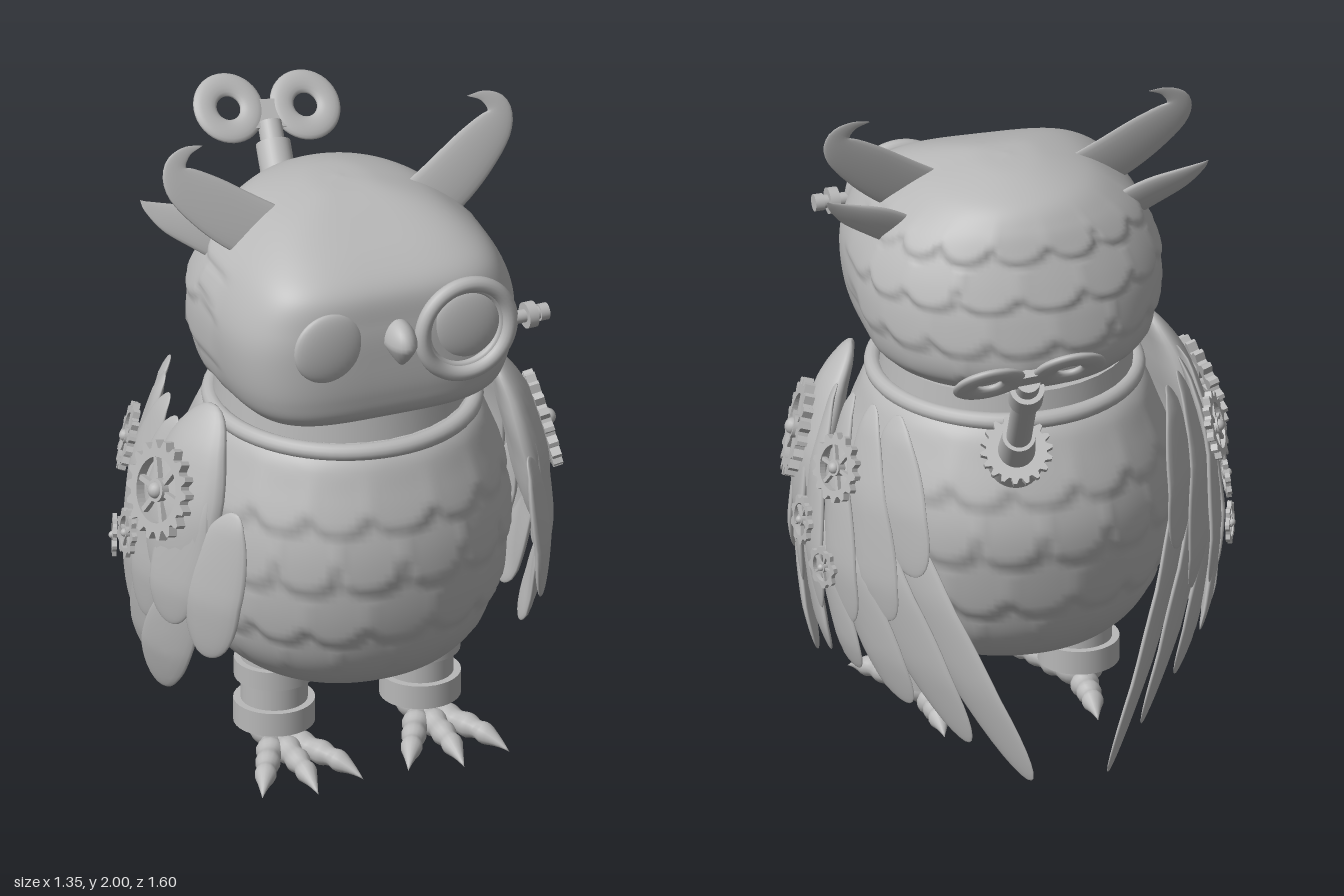
import * as THREE from 'three';
import { mergeGeometries, mergeVertices } from 'three/addons/utils/BufferGeometryUtils.js';
import { ParametricGeometry } from 'three/addons/geometries/ParametricGeometry.js';

const grey = new THREE.MeshStandardMaterial({ color: 0xb8b8b8 });
grey.name = 'plain grey';

const { PI, cos, sin, abs, sign, floor, sqrt } = Math;
const { smoothstep, clamp } = THREE.MathUtils;

function part(parent, name, geo, pos = [0, 0, 0], rot = [0, 0, 0]) {
  const mesh = new THREE.Mesh(geo, grey);
  mesh.name = name;
  mesh.position.set(...pos);
  mesh.rotation.set(...rot);
  parent.add(mesh);
  return mesh;
}

// Weld seams and rebuild smooth normals
function smooth(geo) {
  geo.deleteAttribute('uv');
  geo.deleteAttribute('normal');
  const g = mergeVertices(geo, 1e-5);
  g.computeVertexNormals();
  return g;
}

// Copy of a geometry reflected in x, with the corner order restored
function mirrored(geo) {
  const g = geo.index ? geo.clone() : mergeVertices(geo.clone());
  g.scale(-1, 1, 1);
  const ix = g.index;
  for (let i = 0; i < ix.count; i += 3) {
    const b = ix.getX(i + 1);
    ix.setX(i + 1, ix.getX(i + 2));
    ix.setX(i + 2, b);
  }
  return g;
}

function both(parent, name, geo) {
  part(parent, name + 'Left', geo);
  part(parent, name + 'Right', mirrored(geo));
}

// Soft overlapping rows of rounded feathers: swells near each tip, fades upwards
function scallop(u, y, count, h) {
  for (let k = floor(y / h) + 2; k > floor(y / h) - 2; k--) {
    const s = u * count + (k & 1) * 0.5;
    const f = 2 * (s - floor(s)) - 1;
    const t = (y - k * h) / h + 0.45 * sqrt(1 - f * f);
    if (t >= 0) return smoothstep(t, -0.08, 0.22) * Math.max(0, 1 - 0.8 * t);
  }
  return 0;
}

// Closed body from rows [y, halfWidth, frontZ, backZ], bottom to top
function skin(rows, zc, frontPower, count, h, amp, fade) {
  const prof = new THREE.CatmullRomCurve3(rows.map(r => new THREE.Vector3(r[1], r[2], r[3])), false, 'catmullrom');
  const ys = new THREE.CatmullRomCurve3(rows.map(r => new THREE.Vector3(r[0], 0, 0)), false, 'catmullrom');
  return smooth(new ParametricGeometry((u, v, out) => {
    const a = -2 * PI * (u % 1), c = cos(a), s = sin(a);
    const p = prof.getPoint(v), y = ys.getPoint(v).x;
    const e = s > 0 ? 2 / frontPower : 0.95;
    const x = Math.max(p.x, 0) * sign(c) * abs(c) ** e;
    const z = zc + abs(s) ** e * (s > 0 ? p.y - zc : p.z - zc);
    const k = (scallop(u % 1, y, count, h) - 0.55) * amp * fade(z, y);
    out.set(x + k * c, y, z + k * s);
  }, 144, 90));
}

// Flat tapering blade along points [x, y, halfWidth], leaning back in z
function blade(pts, z0, y0, lean, flat) {
  const curve = new THREE.CatmullRomCurve3(pts.map(p => new THREE.Vector3(p[0], p[1], p[2])), false, 'catmullrom');
  return smooth(new ParametricGeometry((u, v, out) => {
    const a = -2 * PI * (u % 1), p = curve.getPoint(v), t = curve.getTangent(v);
    const l = Math.hypot(t.x, t.y), w = Math.max(p.z, 0);
    const y = p.y - (t.x / l) * w * cos(a);
    out.set(p.x + (t.y / l) * w * cos(a), y, z0 - (y - y0) * lean + flat * w * sin(a));
  }, 20, 28));
}

// Wing surface: x as a function of z and y
function lerpTable(t, v) {
  for (let i = 1; i < t.length; i++)
    if (v <= t[i][0] || i === t.length - 1) {
      const k = clamp((v - t[i - 1][0]) / (t[i][0] - t[i - 1][0]), 0, 1);
      return t[i - 1][1] + k * (t[i][1] - t[i - 1][1]);
    }
}
const acrossZ = [[-0.55, 0.14], [-0.3, 0.33], [-0.1, 0.49], [0.03, 0.56], [0.2, 0.59], [0.35, 0.58], [0.5, 0.53], [0.7, 0.42]];
const acrossY = [[0.13, -0.03], [0.4, 0.01], [0.65, 0.02], [0.9, -0.01], [1.1, -0.07], [1.22, -0.13]];
const wingX = (z, y) => lerpTable(acrossZ, z) + lerpTable(acrossY, y);

// Petal on the wing surface, from base to tip in z and y; twist lifts its rear edge
function feather(bz, by, tz, ty, half, lift, thick = 0.018, twist = 0) {
  const g = new THREE.SphereGeometry(1, 20, 20), p = g.attributes.position;
  const len = Math.hypot(tz - bz, ty - by), dz = (tz - bz) / len, dy = (ty - by) / len;
  for (let i = 0; i < p.count; i++) {
    const al = p.getY(i) * len / 2, ac = p.getX(i) * half * (1 + 0.15 * p.getY(i));
    const z = (bz + tz) / 2 + dz * al - dy * ac, y = (by + ty) / 2 + dy * al + dz * ac;
    p.setXYZ(i, wingX(z, y) + lift + p.getZ(i) * thick - twist * ac, y, z);
  }
  return smooth(g);
}

// Toothed ring with spokes and hub, facing +z
function gear(R, teeth, spokes, hole = 0.66) {
  const s = new THREE.Shape(), d = R * 0.2;
  for (let i = 0; i < teeth * 4; i++) {
    const a = (i + 0.5) / (teeth * 4) * 2 * PI, r = i % 4 < 2 ? R : R * 0.84;
    s[i ? 'lineTo' : 'moveTo'](r * cos(a), r * sin(a));
  }
  s.holes.push(new THREE.Path().absarc(0, 0, R * hole, 0, 2 * PI, true));
  const list = [new THREE.ExtrudeGeometry(s, { depth: d, bevelEnabled: false, curveSegments: 24 })];
  for (let i = 0; i < spokes; i++)
    list.push(new THREE.BoxGeometry(R * 0.7, R * 0.11, d * 0.6).translate(R * 0.35, 0, d / 2).rotateZ(i / spokes * 2 * PI).toNonIndexed());
  if (spokes) {
    list.push(new THREE.CylinderGeometry(R * 0.24, R * 0.24, d * 1.2, 20).rotateX(PI / 2).translate(0, 0, d / 2).toNonIndexed());
    list.push(new THREE.SphereGeometry(R * 0.17, 16, 10).translate(0, 0, d).toNonIndexed());
  }
  return mergeGeometries(list);
}

// Arched knuckled toe with a curved claw, pointing along +z
function toe(len) {
  const prof = [[0, 0], [0.04, 0.02], [0.036, 0.22], [0.044, 0.32], [0.033, 0.42], [0.038, 0.54], [0.028, 0.64], [0.033, 0.73], [0.02, 0.84], [0, 1]];
  const curve = new THREE.SplineCurve(prof.map(q => new THREE.Vector2(q[0], q[1])));
  const g = new THREE.LatheGeometry(curve.getPoints(30).map(q => new THREE.Vector2(Math.max(q.x, 0), q.y * len)), 14);
  g.rotateX(PI / 2);
  const p = g.attributes.position;
  for (let i = 0; i < p.count; i++) {
    const t = p.getZ(i) / len;
    p.setY(i, Math.max(0, p.getY(i) + 0.045 - 0.042 * t ** 5));
  }
  return smooth(g);
}

export function createModel() {
  const owl = new THREE.Group();
  owl.name = 'clockworkOwl';
  const cyl = (r, h, r2 = r) => new THREE.CylinderGeometry(r2, r, h, 32);

  // Body, neck band and collar
  part(owl, 'body', skin([
    [0.27, 0, 0.26, 0.26], [0.278, 0.2, 0.47, 0.06], [0.32, 0.33, 0.6, -0.06], [0.43, 0.43, 0.69, -0.15],
    [0.6, 0.485, 0.75, -0.21], [0.8, 0.495, 0.77, -0.24], [0.98, 0.46, 0.74, -0.2], [1.11, 0.4, 0.68, -0.13],
    [1.14, 0.3, 0.57, -0.03], [1.145, 0, 0.26, 0.26]], 0.26, 2.15, 16, 0.19, 0.02,
    (z, y) => smoothstep(y, 0.32, 0.5) * (1 - smoothstep(y, 0.98, 1.1))));
  part(owl, 'neckBand', cyl(0.385, 0.12, 0.37), [0, 1.15, 0.26]);
  part(owl, 'collar', new THREE.TorusGeometry(0.392, 0.026, 14, 64).scale(1, 1.03, 1), [0, 1.125, 0.28], [PI / 2, 0, 0]);

  // Head: flat smooth face, feathered back
  part(owl, 'head', skin([
    [1.19, 0, 0.27, 0.27], [1.2, 0.31, 0.57, -0.03], [1.24, 0.395, 0.68, -0.12], [1.32, 0.44, 0.71, -0.16],
    [1.45, 0.46, 0.715, -0.15], [1.55, 0.447, 0.71, -0.125], [1.65, 0.4, 0.69, -0.09], [1.72, 0.335, 0.61, -0.06],
    [1.78, 0.24, 0.48, 0], [1.82, 0.11, 0.35, 0.12], [1.83, 0, 0.25, 0.25]], 0.25, 4, 15, 0.14, 0.018,
    (z, y) => (1 - smoothstep(z, 0.32, 0.42)) * (1 - smoothstep(y, 1.66, 1.78)) * smoothstep(y, 1.2, 1.28)));
  for (const s of [1, -1])
    part(owl, s > 0 ? 'eyeLeft' : 'eyeRight', new THREE.SphereGeometry(0.112, 32, 20).scale(1, 1, 0.25), [0.22 * s, 1.505, 0.7]);

  // Beak tapering to a point at the bottom
  const beak = new THREE.SphereGeometry(1, 24, 20), bp = beak.attributes.position;
  for (let i = 0; i < bp.count; i++) {
    const y = bp.getY(i), k = y < 0 ? 1 + 0.55 * y : 1;
    bp.setXYZ(i, bp.getX(i) * 0.048 * k, 1.495 + y * 0.07, 0.715 + bp.getZ(i) * 0.085 * k - Math.min(y, 0) * 0.015);
  }
  part(owl, 'beak', smooth(beak));

  // Monocle with hinge knob
  const monocle = new THREE.Group();
  monocle.name = 'monocle';
  monocle.position.set(0.212, 1.5, 0.725);
  monocle.rotation.y = 0.06;
  owl.add(monocle);
  part(monocle, 'monocleRim', new THREE.TorusGeometry(0.145, 0.024, 14, 56));
  part(monocle, 'monocleInnerRim', new THREE.TorusGeometry(0.125, 0.014, 10, 48), [0, 0, -0.012]);
  part(monocle, 'hinge', cyl(0.02, 0.1), [0.2, 0, 0], [0, 0, PI / 2]);
  part(monocle, 'hingeNut', cyl(0.04, 0.03), [0.208, 0, 0], [0, 0, PI / 2]);
  part(monocle, 'hingeTip', cyl(0.026, 0.028), [0.252, 0, 0], [0, 0, PI / 2]);

  // Curled ear tufts
  both(owl, 'earTuft', blade([[0.2, 1.68, 0.085], [0.32, 1.75, 0.088], [0.42, 1.825, 0.08], [0.5, 1.895, 0.06],
    [0.518, 1.95, 0.038], [0.48, 1.988, 0.017], [0.425, 1.998, 0]], 0.31, 1.68, 0.28, 0.18));
  both(owl, 'lowerEarTuft', blade([[0.3, 1.62, 0.06], [0.41, 1.69, 0.058], [0.5, 1.735, 0.042], [0.56, 1.775, 0.018], [0.585, 1.8, 0]],
    0.185, 1.64, 0.42, 0.3));

  // Wings: shoulder, covering feathers, long flight feathers
  const wings = new THREE.Group();
  wings.name = 'wings';
  owl.add(wings);
  both(wings, 'shoulder', feather(0.36, 1.21, 0.36, 0.62, 0.165, 0, 0.06));
  both(wings, 'frontFeather', feather(0.58, 0.95, 0.52, 0.46, 0.095, 0.01, 0.025));
  const covers = [[0.46, 1.02, 0.4, 0.53], [0.37, 1.1, 0.25, 0.49], [0.25, 1.13, 0.11, 0.46], [0.14, 1.15, -0.04, 0.48],
    [0.03, 1.16, -0.16, 0.53], [-0.06, 1.16, -0.23, 0.7]];
  covers.forEach((f, i) => both(wings, 'coverFeather' + (i + 1), feather(...f, 0.088, 0.03 - i * 0.006, 0.018, 0.15)));
  const flights = [[0.46, 0.66, 0.24, 0.26], [0.32, 0.74, 0.11, 0.32], [0.2, 0.8, -0.03, 0.32], [0.08, 0.85, -0.18, 0.26],
    [-0.02, 0.9, -0.34, 0.19], [-0.1, 0.93, -0.515, 0.13]];
  flights.forEach((f, i) => both(wings, 'flightFeather' + (i + 1), feather(...f, 0.09, 0.005 - i * 0.005, 0.018, 0.22)));

  // Gears resting on each wing: z, y, radius, teeth, spokes
  [[0.345, 0.945, 0.15, 18, 6], [0.02, 0.965, 0.105, 14, 6], [0.17, 0.73, 0.075, 9, 5], [0.015, 0.645, 0.065, 8, 5]]
    .forEach(([z, y, R, teeth, spokes], i) => {
      const e = 0.08;
      const n = new THREE.Vector3(1, (wingX(z, y - e) - wingX(z, y + e)) / (2 * e), (wingX(z - e, y) - wingX(z + e, y)) / (2 * e)).normalize();
      const g = gear(R, teeth, spokes).rotateY(PI / 2);
      g.applyQuaternion(new THREE.Quaternion().setFromUnitVectors(new THREE.Vector3(1, 0, 0), n));
      both(wings, 'wingGear' + (i + 1), g.translate(wingX(z, y) + 0.045, y, z));
    });

  // Legs with bands, and clawed feet
  for (const s of [1, -1]) {
    const leg = new THREE.Group();
    leg.name = s > 0 ? 'legLeft' : 'legRight';
    leg.position.set(0.235 * s, 0, 0.315);
    owl.add(leg);
    part(leg, 'shin', cyl(0.1, 0.28), [0, 0.24, 0]);
    part(leg, 'upperBand', cyl(0.12, 0.06), [0, 0.28, 0]);
    part(leg, 'lowerBand', cyl(0.122, 0.075), [0, 0.137, 0]);
    part(leg, 'ankle', new THREE.SphereGeometry(0.075, 24, 14).scale(1, 0.75, 1), [0, 0.07, 0]);
    for (const a of [-0.5, 0, 0.5]) part(leg, 'frontToe', toe(0.34), [0, 0, 0], [0, a, 0]);
    part(leg, 'backToe', toe(0.24), [0, 0, 0], [0, PI, 0]);
  }

  // Winding key on the back
  const key = new THREE.Group();
  key.name = 'windingKey';
  key.position.set(0.085, 1.06, -0.2);
  key.quaternion.setFromUnitVectors(new THREE.Vector3(0, 1, 0), new THREE.Vector3(0.12, 0.7, -0.7).normalize());
  owl.add(key);
  part(key, 'keyBase', cyl(0.085, 0.16), [0, -0.05, 0]);
  part(key, 'keyGear', gear(0.108, 18, 0, 0.5), [0, 0.035, 0], [PI / 2, 0, 0]);
  part(key, 'keySocket', cyl(0.056, 0.14, 0.05), [0, 0.1, 0]);
  part(key, 'keyShaft', cyl(0.038, 0.45), [0, 0.36, 0]);
  part(key, 'keyCollar', cyl(0.052, 0.1), [0, 0.57, 0]);
  part(key, 'keyNeck', cyl(0.036, 0.07), [0, 0.65, 0]);
  part(key, 'keyBridge', new THREE.BoxGeometry(0.11, 0.09, 0.022), [0, 0.71, 0]);
  for (const s of [1, -1])
    part(key, 'keyLoop', new THREE.TorusGeometry(0.074, 0.037, 16, 40).scale(1, 1, 0.42), [0.122 * s, 0.735, 0]);

  return owl;
}
